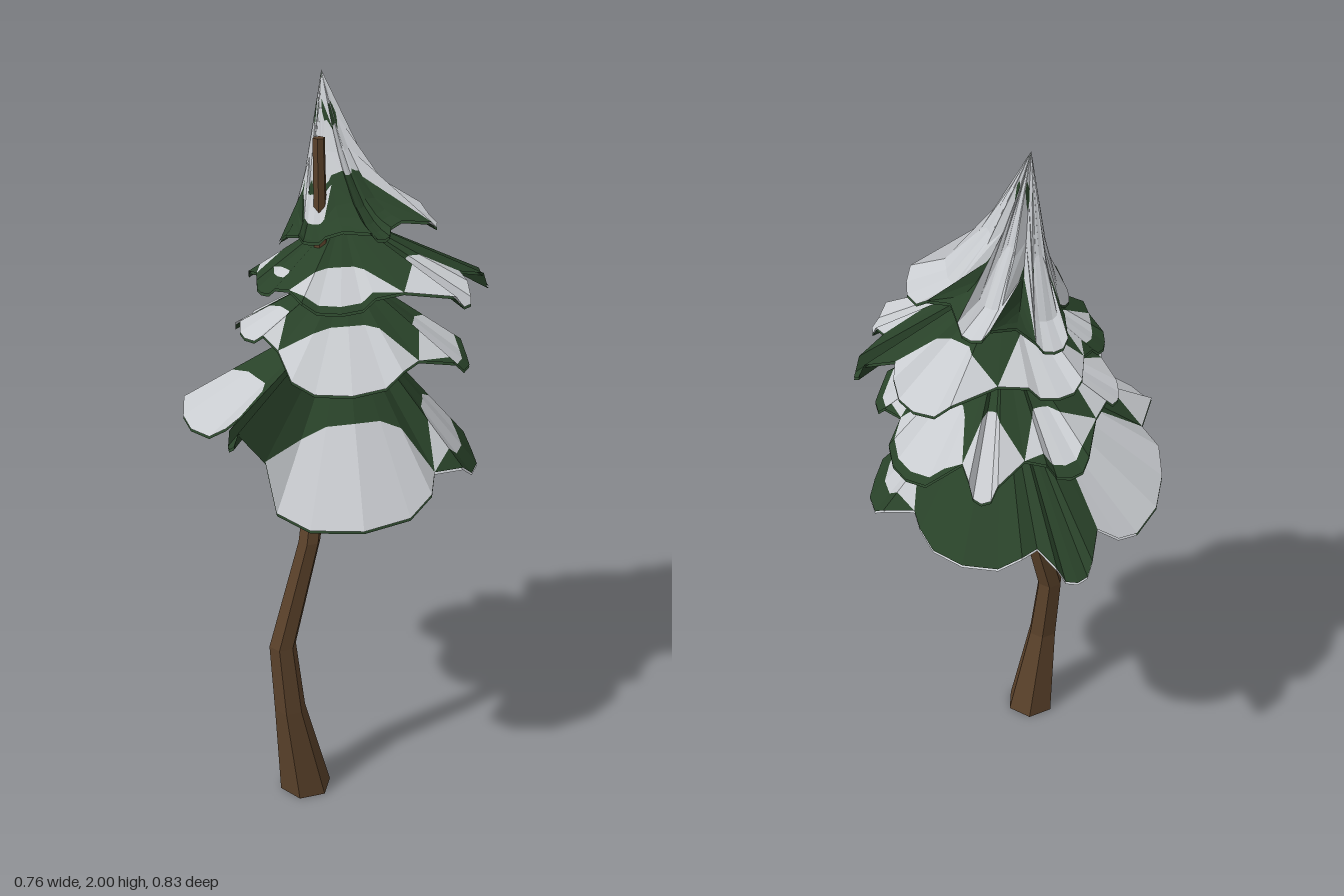
import * as THREE from 'three';

const mat = (name, color) => {
  const m = new THREE.MeshStandardMaterial({ color, side: THREE.DoubleSide });
  m.name = name;
  return m;
};

// Flat-faceted mesh from a flat list of corner points
function facetMesh(name, pts, material) {
  const g = new THREE.BufferGeometry().setFromPoints(pts);
  g.computeVertexNormals();
  const m = new THREE.Mesh(g, material);
  m.name = name;
  return m;
}

// Point at an angle in degrees around the tree, from the front towards +x
const polar = (deg, r, y) => {
  const t = THREE.MathUtils.degToRad(deg);
  return new THREE.Vector3(Math.sin(t) * r, y, Math.cos(t) * r);
};

// Rim of a tier from its lobes [angle, half width, radius, height, snow start, snow end, tilt];
// a notch is cut back and lifted between each lobe and the next
function lobedRim(lobes, notchSnow) {
  const rim = [];
  lobes.forEach(([deg, half, r, y, snow, end = 1, tilt = 0], i) => {
    for (const t of [-1, -0.6, 0, 0.6, 1]) {
      const curl = t ** 4;
      const p = polar(deg + half * t, r * (1.02 - 0.05 * t * t), y + tilt * t + 0.1 * r * curl);
      rim.push({ p, from: Math.min(snow + 0.12 * curl, end), to: end });
    }
    const last = i === lobes.length - 1;
    const [nextDeg, nextHalf, nextR, nextY] = lobes[last ? 0 : i + 1];
    const start = nextDeg - nextHalf + (last ? 360 : 0);
    const meanR = (r + nextR) / 2;
    const p = polar((deg + half + start) / 2, meanR * 0.86, (y + nextY) / 2 + meanR * 0.14);
    rim.push({ p, from: notchSnow[0], to: notchSnow[1] });
  });
  return rim;
}

// Skirt of branches hanging from an apex; a higher power gives a thinner spike
function buildTier(name, apex, power, lobes, notchSnow, needles, snow) {
  const group = new THREE.Group();
  group.name = name;
  const at = (p, v, drop) => new THREE.Vector3(
    apex[0] + (p.x - apex[0]) * v,
    p.y + (apex[1] - p.y) * Math.pow(1 - v, power) - drop,
    apex[2] + (p.z - apex[2]) * v);

  // Fill one sector between the limits on its two edges (0 apex, 1 rim)
  const strip = (out, a, b, a0, a1, b0, b1, below = false) => {
    const n = 3, drop = below ? 0.007 : 0;
    for (let k = 0; k < n; k++) {
      const mix = (s, e, t) => s + (e - s) * t / n;
      const p = at(a, mix(a0, a1, k), drop), q = at(a, mix(a0, a1, k + 1), drop);
      const r = at(b, mix(b0, b1, k + 1), drop), s = at(b, mix(b0, b1, k), drop);
      for (const tri of [[p, q, r], [p, r, s]]) {
        if (new THREE.Triangle(...tri).getArea() > 1e-8) out.push(...(below ? tri.reverse() : tri));
      }
    }
  };

  const green = [], white = [], under = [], underSnow = [];
  // the low back of the bottom tier is dusted with snow underneath
  const inner = p => (p.y < 1.1 && p.z < -0.08 ? 0.68 : 1);
  const rim = lobedRim(lobes, notchSnow);
  rim.forEach((a, i) => {
    const b = rim[(i + 1) % rim.length];
    strip(green, a.p, b.p, 0, a.from, 0, b.from);
    strip(white, a.p, b.p, a.from, a.to, b.from, b.to);
    strip(green, a.p, b.p, a.to, 1, b.to, 1);
    strip(under, a.p, b.p, 0, inner(a.p), 0, inner(b.p), true);
    strip(underSnow, a.p, b.p, inner(a.p), 1, inner(b.p), 1, true);
  });
  group.add(facetMesh('needles', green, needles), facetMesh('snow', white, snow),
    facetMesh('underside', under, needles));
  if (underSnow.length) group.add(facetMesh('undersideSnow', underSnow, snow));
  return group;
}

// Crooked six-sided trunk from cross-sections [x, y, z, radius]
function buildTrunk(bark) {
  const sections = [
    [0.071, 0, 0.155, 0.074], [0.055, 0.28, 0.2, 0.044], [0.036, 0.48, 0.207, 0.038],
    [0.072, 0.79, 0.135, 0.031], [0.05, 1.13, 0.055, 0.025], [0.035, 1.4, 0.042, 0.019],
    [0.024, 1.86, 0.043, 0.016]];
  const sides = 6, pts = [];
  const centre = ([x, y, z]) => new THREE.Vector3(x, y, z);
  const corner = (s, i) => polar(90 + i * 360 / sides, s[3], 0).add(centre(s));
  const base = sections[0], tip = sections[sections.length - 1];
  for (let i = 0; i < sides; i++) {
    for (let k = 0; k < sections.length - 1; k++) {
      const a = corner(sections[k], i), b = corner(sections[k], i + 1);
      const c = corner(sections[k + 1], i + 1), d = corner(sections[k + 1], i);
      pts.push(a, b, c, a, c, d);
    }
    pts.push(centre(tip), corner(tip, i), corner(tip, i + 1));
    pts.push(centre(base), corner(base, i + 1), corner(base, i));
  }
  return facetMesh('trunk', pts, bark);
}

export function createModel() {
  const needles = mat('needle green', 0x294229);
  const snow = mat('snow white', 0xc8cbcf);
  const bark = mat('bark brown', 0x5a412a);
  const tree = new THREE.Group();
  tree.name = 'snowyPine';
  tree.add(buildTrunk(bark));
  const addTier = (name, apex, power, notchSnow, lobes) =>
    tree.add(buildTier(name, apex, power, lobes, notchSnow, needles, snow));

  addTier('bottomBranches', [0.04, 1.4, -0.04], 1, [1, 1], [
    [-18, 19, 0.385, 1.14, 0.58], [8, 2, 0.41, 1.15, 1], [57, 33, 0.39, 0.94, 0.53],
    [127, 17, 0.41, 0.965, 0.58, 0.88], [188, 24, 0.37, 0.98, 1], [232, 7, 0.405, 0.96, 1],
    [279, 24, 0.375, 1.02, 0.45, 1, 0.05]]);
  addTier('lowerBranches', [0.03, 1.51, -0.05], 1, [1, 1], [
    [-17, 16, 0.23, 1.36, 0.6], [55, 28, 0.315, 1.28, 0.48], [124, 14, 0.38, 1.26, 0.55, 0.94],
    [168, 14, 0.41, 1.22, 0.5, 0.95], [199, 5, 0.43, 1.24, 0.5], [231, 9, 0.36, 1.26, 0.55, 0.92],
    [285, 12, 0.25, 1.31, 0.5]]);
  addTier('upperBranches', [0.02, 1.65, -0.05], 1, [1, 1], [
    [-12, 13, 0.19, 1.48, 0.7, 0.8], [52, 23, 0.245, 1.47, 0.55, 0.93], [115, 10, 0.385, 1.45, 0.5],
    [143, 3, 0.44, 1.43, 1], [172, 14, 0.4, 1.43, 0.5], [229, 14, 0.29, 1.45, 0.45],
    [283, 13, 0.21, 1.46, 0.5, 0.87]]);
  addTier('crown', [-0.06, 2, -0.06], 1.9, [0, 0.5], [
    [30, 14, 0.145, 1.62, 0, 0.75], [88, 10, 0.21, 1.63, 0, 0.45], [138, 19, 0.29, 1.62, 0],
    [187, 9, 0.285, 1.6, 0], [230, 10, 0.24, 1.55, 0], [290, 22, 0.115, 1.57, 0]]);
  return tree;
}
